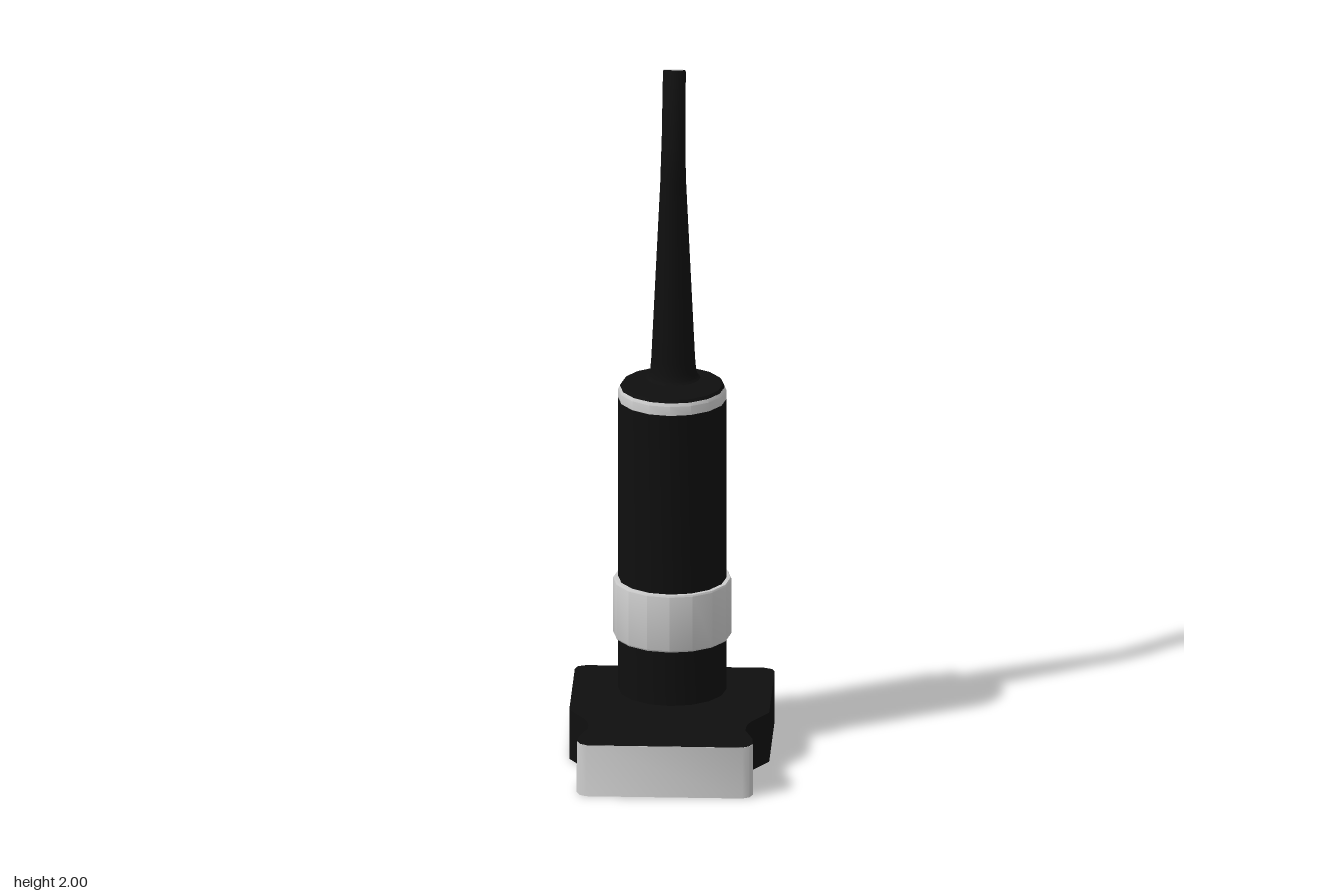
import * as THREE from 'three';
import { toCreasedNormals } from 'three/addons/utils/BufferGeometryUtils.js';

const black = new THREE.MeshStandardMaterial({ color: 0x0f0f0f });
const grey = new THREE.MeshStandardMaterial({ color: 0xcccccc });
const AXIS_Z = -0.17; // handle axis
const TIP_Z = -0.225; // nozzle axis
const BASE_H = 0.15;

function part(name, geometry, material, z = 0) {
  const mesh = new THREE.Mesh(toCreasedNormals(geometry, 0.6), material);
  mesh.name = name;
  mesh.position.z = z;
  return mesh;
}

function turned(points) {
  return new THREE.LatheGeometry(points.map(([r, y]) => new THREE.Vector2(r, y)), 16);
}

// Mirrors a half outline of [x, z] points and raises it from y0 to y1
function slab(half, y0, y1) {
  const outline = [...half, ...half.map(([x, z]) => [-x, z]).reverse()];
  const shape = new THREE.Shape(outline.map(([x, z]) => new THREE.Vector2(x, -z)));
  const geo = new THREE.ExtrudeGeometry(shape, { depth: y1 - y0, bevelEnabled: false });
  return geo.rotateX(-Math.PI / 2).translate(0, y0, 0);
}

// Bends the upper nozzle backwards: straight, then an arc, then straight
function bend(geo) {
  const start = 1.68, arc = 0.12, angle = 0.3, R = arc / angle;
  const p = geo.attributes.position;
  for (let i = 0; i < p.count; i++) {
    const s = p.getY(i) - start, off = p.getZ(i);
    if (s <= 0) continue;
    const a = Math.min(s / arc, 1) * angle, rest = Math.max(s - arc, 0);
    const y = start + R * Math.sin(a) + rest * Math.cos(a);
    const z = -R * (1 - Math.cos(a)) - rest * Math.sin(a);
    p.setY(i, y + off * Math.sin(a));
    p.setZ(i, z + off * Math.cos(a));
  }
  return geo;
}

export function createModel() {
  const model = new THREE.Group();
  model.name = 'handheldTool';

  // Waisted base block
  model.add(part('base', slab([
    [0.257, -0.357], [0.28, -0.347], [0.288, -0.325], [0.288, 0.03],
    [0.24, 0.11], [0.231, 0.135], [0.227, 0.16], [0.227, 0.19],
    [0.238, 0.222], [0.25, 0.26], [0.253, 0.3], [0.243, 0.322], [0.223, 0.334],
  ], 0, BASE_H), black));

  // Front plate, leaning out towards the floor
  const plate = slab([[0.254, 0.3], [0.245, 0.323], [0.225, 0.335]], 0.001, BASE_H - 0.001);
  const p = plate.attributes.position;
  for (let i = 0; i < p.count; i++) p.setZ(i, p.getZ(i) + 0.02 * (1 - p.getY(i) / BASE_H));
  model.add(part('frontPlate', plate, grey));

  // Handle with collar, trim ring and end cap
  model.add(part('handle', turned([[0, 0.14], [0.156, 0.14], [0.156, 1.035], [0, 1.035]]), black, AXIS_Z));
  model.add(part('collar', turned([
    [0.15, 0.317], [0.168, 0.317], [0.171, 0.322], [0.171, 0.485], [0.168, 0.49], [0.15, 0.49],
  ]), grey, AXIS_Z));
  model.add(part('trimRing', turned([
    [0.14, 1.035], [0.156, 1.035], [0.156, 1.062], [0.151, 1.071], [0.14, 1.071],
  ]), grey, AXIS_Z));
  model.add(part('endCap', turned([[0.15, 1.065], [0.151, 1.073], [0.146, 1.08], [0, 1.08]]), black, AXIS_Z));

  // Tapered nozzle with a bent tip
  const profile = [[0.081, 1.078], [0.072, 1.086], [0.066, 1.105], [0.063, 1.14], [0.037, 1.68]];
  for (let i = 1; i <= 6; i++) profile.push([0.037 - i * 0.0005, 1.68 + i * 0.02]);
  profile.push([0.033, 1.996], [0.031, 2.001]);
  model.add(part('nozzle', bend(turned(profile)), black, TIP_Z));
  model.add(part('nozzleTip', bend(turned([[0.031, 2.001], [0, 2.001]])), grey, TIP_Z));

  return model;
}
